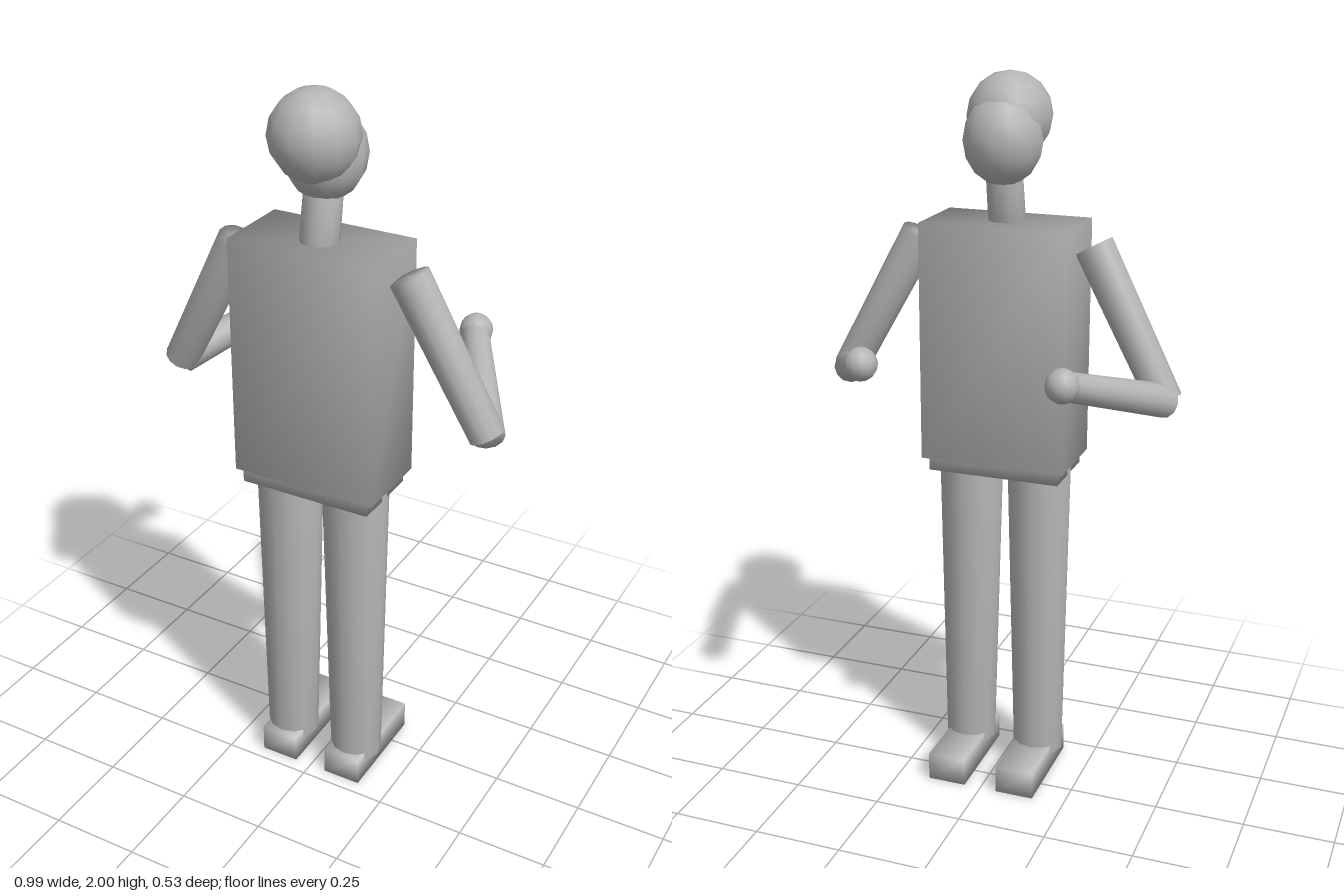
import * as THREE from 'three';
import { mergeVertices } from 'three/addons/utils/BufferGeometryUtils.js';

const grey = new THREE.MeshStandardMaterial({ color: 0xb4b4b4 });
grey.name = 'grey';

// Weld corners so normals blend across every edge
function smooth(geometry) {
  geometry.deleteAttribute('normal');
  geometry.deleteAttribute('uv');
  const welded = mergeVertices(geometry, 1e-4);
  welded.computeVertexNormals();
  return welded;
}

function part(name, geometry, x = 0, y = 0, z = 0) {
  const mesh = new THREE.Mesh(smooth(geometry), grey);
  mesh.name = name;
  mesh.position.set(x, y, z);
  return mesh;
}

// Tapered cylinder running from point a to point b
function limb(name, a, b, ra, rb, sides = 12) {
  const from = new THREE.Vector3(...a), to = new THREE.Vector3(...b);
  const dir = to.clone().sub(from);
  const mesh = part(name, new THREE.CylinderGeometry(rb, ra, dir.length(), sides));
  mesh.position.copy(from).lerp(to, 0.5);
  mesh.quaternion.setFromUnitVectors(new THREE.Vector3(0, 1, 0), dir.normalize());
  return mesh;
}

export function createModel() {
  const model = new THREE.Group();
  model.name = 'figure';

  // Trunk
  model.add(part('torso', new THREE.BoxGeometry(0.408, 0.655, 0.226), 0, 1.2875, 0.12));
  model.add(part('hips', new THREE.BoxGeometry(0.372, 0.1, 0.205), 0, 0.973, 0.122));

  // Neck and head, leaning towards the toes
  model.add(limb('neck', [0, 1.59, 0.135], [0, 1.76, 0.105], 0.051, 0.049));
  const face = part('face', new THREE.SphereGeometry(1, 12, 8), 0, 1.83, 0.1);
  face.scale.set(0.107, 0.12, 0.107);
  model.add(face);
  model.add(part('cranium', new THREE.SphereGeometry(0.115, 12, 8), 0, 1.885, 0.15));

  // Arms, legs and feet on both sides
  for (const s of [1, -1]) {
    const side = s > 0 ? 'left' : 'right';
    const elbow = [s * 0.455, 1.173, 0.097];
    const wrist = [s * 0.275, 1.283, -0.21];
    model.add(limb(side + 'UpperArm', [s * 0.243, 1.565, 0.122], elbow, 0.053, 0.047));
    model.add(limb(side + 'Forearm', elbow, wrist, 0.046, 0.038));
    model.add(part(side + 'Hand', new THREE.SphereGeometry(0.045, 12, 8), s * 0.272, 1.288, -0.224));
    model.add(limb(side + 'Leg', [s * 0.105, 0.055, 0.126], [s * 0.1, 0.956, 0.125], 0.072, 0.09));
    model.add(part(side + 'Foot', new THREE.BoxGeometry(0.11, 0.08, 0.295), s * 0.103, 0.04, 0.065));
  }
  return model;
}
